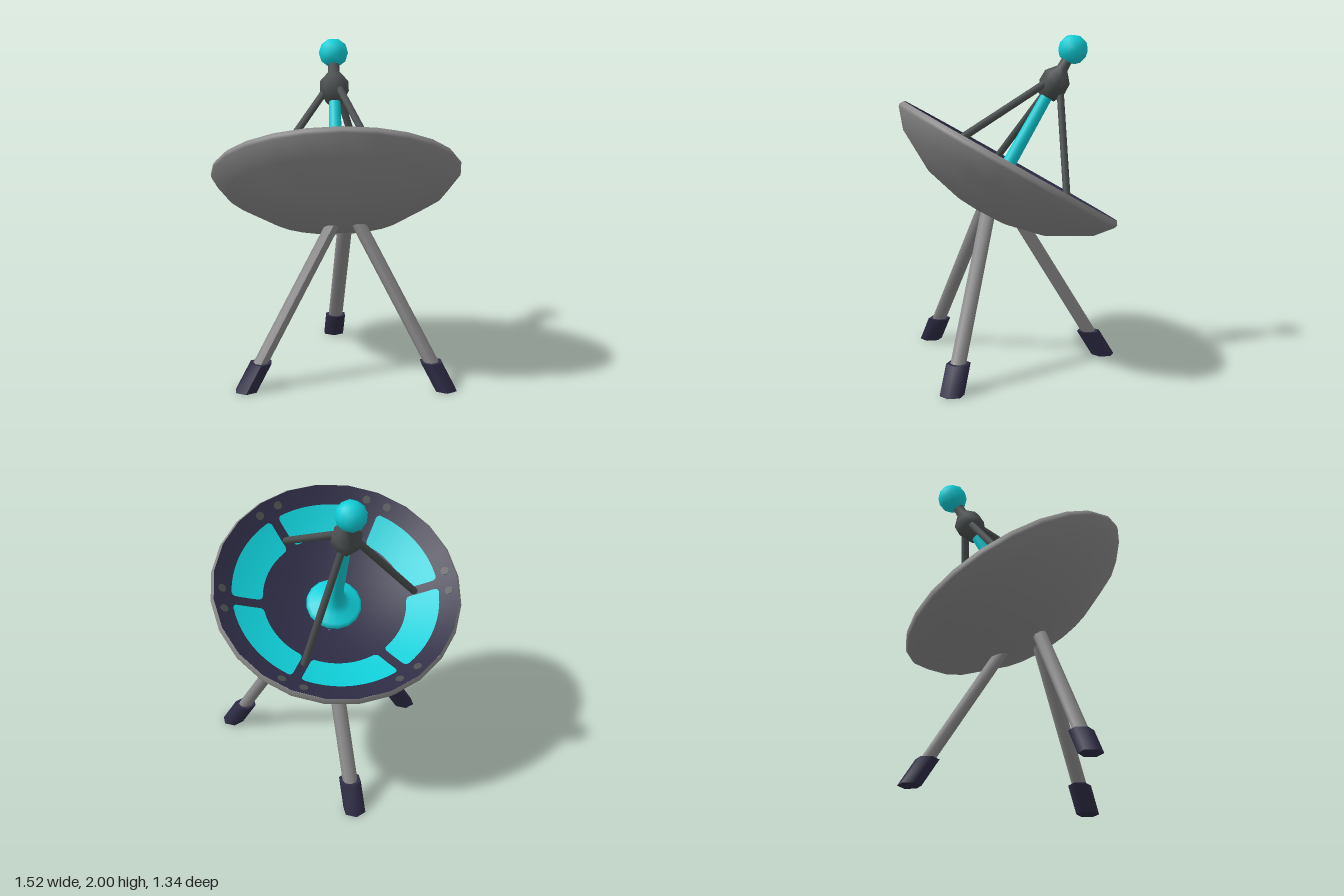
import * as THREE from 'three';

const material = (name, color) => new THREE.MeshStandardMaterial({ name, color });

export function createModel() {
  const grey = material('metalGrey', 0x8a8a8a);
  const dark = material('darkGrey', 0x4b4f4f);
  const navy = material('navy', 0x2e2c45);
  const cyan = material('cyan', 0x0fcfd9);

  const model = new THREE.Group();
  const add = (parent, name, geometry, mat) => {
    const mesh = new THREE.Mesh(geometry, mat);
    mesh.name = name;
    parent.add(mesh);
    return mesh;
  };
  const lathe = (points, sides) =>
    new THREE.LatheGeometry(points.map(([r, h]) => new THREE.Vector2(r, h)), sides);

  // Slanted prism whose ends stay level
  const slanted = (bottom, top, rx, rz, sides) => {
    const g = new THREE.CylinderGeometry(1, 1, 1, sides);
    const p = g.attributes.position;
    for (let i = 0; i < p.count; i++) {
      const c = bottom.clone().lerp(top, p.getY(i) + 0.5);
      p.setXYZ(i, c.x + p.getX(i) * rx, c.y, c.z + p.getZ(i) * rz);
    }
    g.computeVertexNormals();
    return g;
  };

  // Tripod: foot and top of each leg
  const legs = [
    ['rightLeg', [-0.555, 0, 0.42], [-0.015, 0.97, 0.15]],
    ['leftLeg', [0.63, 0, 0.455], [0.115, 0.97, 0.15]],
    ['backLeg', [0.01, 0, -0.6], [0.06, 0.97, 0.0]],
  ];
  for (const [name, foot, top] of legs) {
    const a = new THREE.Vector3(...foot);
    const b = new THREE.Vector3(...top);
    const cuff = a.clone().lerp(b, 0.16 / 0.97);
    const leg = new THREE.Group();
    leg.name = name;
    add(leg, 'legTube', slanted(a.clone().lerp(b, 0.1), b, 0.046, 0.046, 8), grey);
    add(leg, 'foot', slanted(a, cuff, 0.071, 0.071, 6), navy);
    model.add(leg);
  }

  // Tilted dish assembly; local +y is the dish axis
  const dish = new THREE.Group();
  dish.name = 'dish';
  dish.position.y = 1.235;
  dish.rotation.x = -Math.PI / 6;
  model.add(dish);

  const bowl = (r) => -0.223 + 0.43 * r * r;
  add(dish, 'dishShell', lathe([
    [0, -0.35], [0.18, -0.336], [0.41, -0.281], [0.665, -0.138],
    [0.755, -0.03], [0.76, -0.012], [0.742, 0.013],
  ], 24), grey);
  const inner = [];
  for (let i = 0; i <= 14; i++) {
    const r = 0.742 * (1 - i / 14);
    inner.push([r, bowl(r)]);
  }
  add(dish, 'dishInterior', lathe(inner, 24), navy);

  // Curved panel with rounded corners, between two spokes
  const panelGeometry = (middle) => {
    const r0 = 0.44, r1 = 0.63, corner = 0.025, rows = 14, cols = 14;
    const pos = [], index = [];
    for (let i = 0; i <= rows; i++) {
      const r = r0 + (r1 - r0) * (1 - Math.cos(Math.PI * i / rows)) / 2;
      const e = Math.max(0, corner - Math.min(r - r0, r1 - r));
      const inset = corner - Math.sqrt(corner * corner - e * e);
      const half = Math.PI / 6 - Math.asin((0.029 + inset) / r);
      for (let j = 0; j <= cols; j++) {
        const a = middle + half * (2 * j / cols - 1);
        pos.push(r * Math.cos(a), bowl(r) + 0.007, r * Math.sin(a));
        if (i < rows && j < cols) {
          const k = i * (cols + 1) + j, n = k + cols + 1;
          index.push(k, k + 1, n, k + 1, n + 1, n);
        }
      }
    }
    const g = new THREE.BufferGeometry();
    g.setAttribute('position', new THREE.Float32BufferAttribute(pos, 3));
    g.setIndex(index);
    g.computeVertexNormals();
    return g;
  };

  const turn = THREE.MathUtils.degToRad(1.5);
  cyan.side = THREE.DoubleSide;
  for (let k = 0; k < 6; k++) {
    const spoke = turn + k * Math.PI / 3;
    add(dish, 'panel', panelGeometry(spoke + Math.PI / 6), cyan);
    // Pair of bolts at the outer end of each spoke
    for (const side of [-1, 1]) {
      const a = spoke + side * 0.1, r = 0.687;
      const bolt = add(dish, 'bolt', new THREE.CylinderGeometry(0.026, 0.026, 0.008, 12), dark);
      bolt.position.set(r * Math.cos(a), bowl(r) + 0.003, r * Math.sin(a));
      const normal = new THREE.Vector3(-0.86 * r * Math.cos(a), 1, -0.86 * r * Math.sin(a)).normalize();
      bolt.quaternion.setFromUnitVectors(new THREE.Vector3(0, 1, 0), normal);
    }
  }

  // Central feed: flared stem, hub and ball
  add(dish, 'feedStem', lathe([
    [0.168, -0.225], [0.172, -0.195], [0.155, -0.178], [0.1, -0.16],
    [0.065, -0.125], [0.048, -0.06], [0.042, 0.03], [0.036, 0.47],
  ], 16), cyan);
  add(dish, 'feedHub', lathe([
    [0, 0.455], [0.055, 0.455], [0.09, 0.53], [0.088, 0.595],
    [0.036, 0.655], [0.033, 0.74],
  ], 8), dark);
  const ball = add(dish, 'feedBall', new THREE.IcosahedronGeometry(0.092, 1), cyan);
  ball.position.y = 0.786;

  // Struts from the hub to every second spoke
  for (let k = 0; k < 3; k++) {
    const a = turn + Math.PI / 3 + k * Math.PI * 2 / 3;
    const start = new THREE.Vector3(0.5 * Math.cos(a), bowl(0.5) - 0.01, 0.5 * Math.sin(a));
    const end = new THREE.Vector3(0.03 * Math.cos(a), 0.57, 0.03 * Math.sin(a));
    const dir = end.clone().sub(start);
    const strut = add(dish, 'strut', new THREE.CylinderGeometry(0.023, 0.023, dir.length(), 8), dark);
    strut.position.copy(start).lerp(end, 0.5);
    strut.quaternion.setFromUnitVectors(new THREE.Vector3(0, 1, 0), dir.normalize());
  }

  return model;
}
